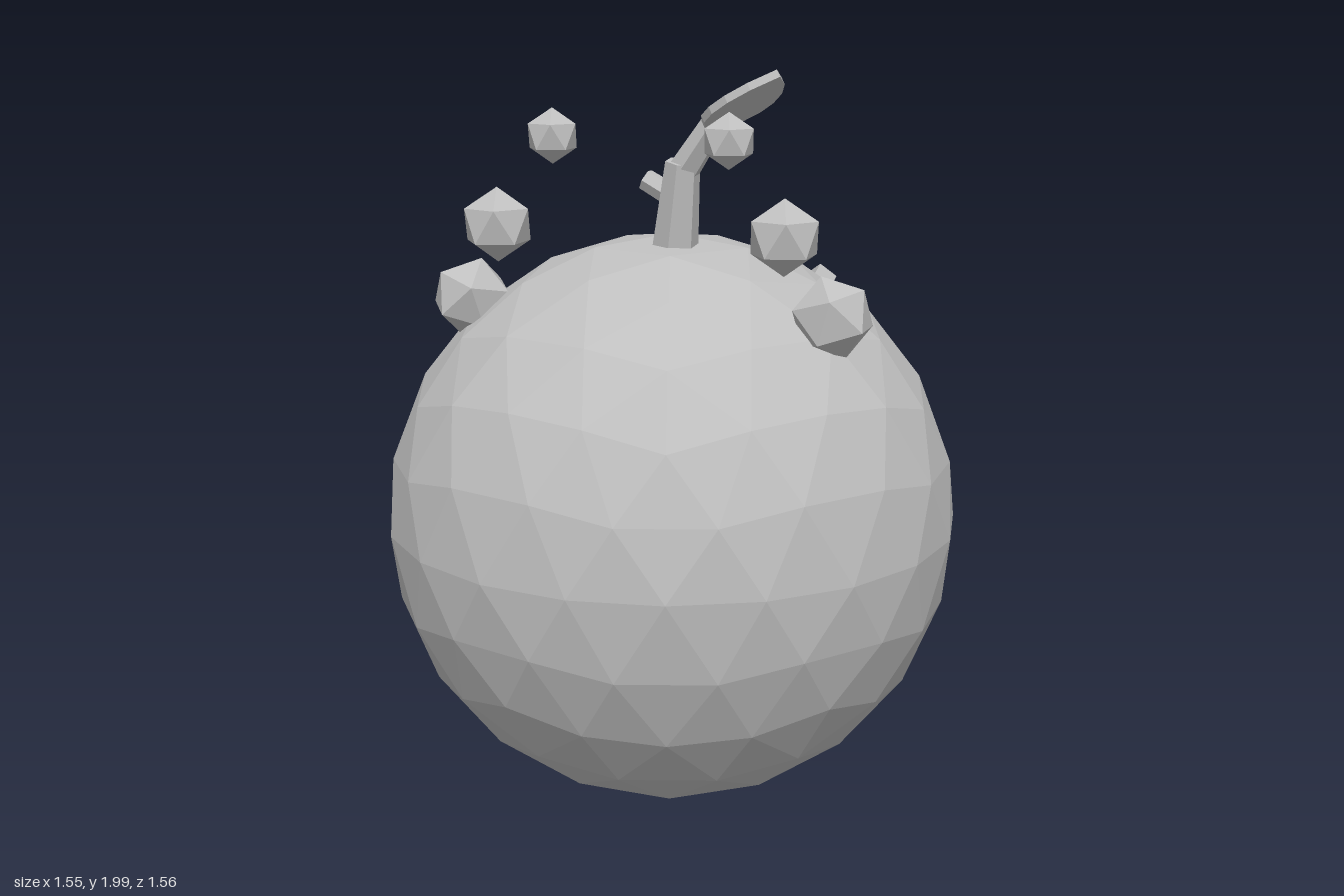
import * as THREE from 'three';

const V = (x, y, z) => new THREE.Vector3(x, y, z);

// Icosphere with a vertex at each pole; every level halves the edges
function icosphere(radius, levels) {
  const pts = [0, 1, 0], faces = [];
  for (const [y, turn] of [[0.4472, 0], [-0.4472, 0.5]]) {
    for (let i = 0; i < 5; i++) {
      const a = (i + turn) * Math.PI * 0.4;
      pts.push(Math.cos(a) * 0.8944, y, Math.sin(a) * 0.8944);
    }
  }
  pts.push(0, -1, 0);
  for (let i = 0; i < 5; i++) {
    const j = (i + 1) % 5;
    const u = 1 + i, un = 1 + j, l = 6 + i, ln = 6 + j;
    faces.push(0, un, u, u, un, l, l, un, ln, 11, l, ln);
  }
  let geo = new THREE.PolyhedronGeometry(pts, faces, radius, 0);
  for (let k = 0; k < levels; k++) {
    const p = Array.from(geo.attributes.position.array);
    geo = new THREE.PolyhedronGeometry(p, p.slice(0, p.length / 3).map((_, i) => i), radius, 1);
  }
  geo.computeVertexNormals();
  return geo;
}

// Places a mesh with its local x along u and local z along n
function orient(mesh, centre, u, n) {
  const x = u.clone().normalize();
  const y = n.clone().cross(x).normalize();
  const z = x.clone().cross(y);
  mesh.quaternion.setFromRotationMatrix(new THREE.Matrix4().makeBasis(x, y, z));
  mesh.position.copy(centre);
}

export function createModel() {
  const model = new THREE.Group();
  const grey = new THREE.MeshStandardMaterial({ color: 0xbfbfbf, flatShading: true });
  grey.name = 'grey';

  function add(name, geometry) {
    const mesh = new THREE.Mesh(geometry, grey);
    mesh.name = name;
    model.add(mesh);
    return mesh;
  }

  // Round faceted body
  add('body', icosphere(0.775, 2)).position.y = 0.78;

  // Three shrinking berries on each side of the top
  const berries = [
    [0.495, 1.39, 0.2, 0.109, 0.3],
    [0.385, 1.595, 0.265, 0.097, 0],
    [0.235, 1.825, 0.247, 0.071, 0],
  ];
  for (const s of [-1, 1]) {
    for (const [x, y, z, r, tilt] of berries) {
      const berry = add(s > 0 ? 'leftBerry' : 'rightBerry', icosphere(r, 0));
      berry.position.set(s * x, y, z);
      berry.rotation.z = s * tilt;
    }
  }

  // Crooked stem with a cut side twig
  function branch(name, from, to, r0, r1) {
    const dir = to.clone().sub(from);
    const mesh = add(name, new THREE.CylinderGeometry(r1, r0, dir.length(), 6));
    mesh.position.copy(from).addScaledVector(dir, 0.5);
    mesh.quaternion.setFromUnitVectors(V(0, 1, 0), dir.normalize());
  }
  branch('lowerStem', V(0.035, 1.52, 0.073), V(0.065, 1.755, 0.1), 0.062, 0.046);
  branch('upperStem', V(0.068, 1.735, 0.097), V(0.16, 1.865, 0.117), 0.042, 0.034);
  branch('twig', V(0.04, 1.66, 0.085), V(-0.043, 1.705, 0.085), 0.031, 0.029);

  // Pointed leaf at the stem end
  const leafShape = new THREE.Shape();
  leafShape.moveTo(0, -0.02);
  leafShape.bezierCurveTo(0.03, -0.13, 0.17, -0.14, 0.273, 0);
  leafShape.bezierCurveTo(0.17, 0.14, 0.03, 0.13, 0, 0.02);
  const leafGeo = new THREE.ExtrudeGeometry(leafShape, { depth: 0.02, bevelEnabled: false, curveSegments: 6 });
  orient(add('leaf', leafGeo), V(0.165, 1.842, 0.105), V(0.195, 0.14, 0.13), V(-0.56, 1, -0.24));

  // Slanted brows and narrow eyes, mirrored
  for (const s of [-1, 1]) {
    const side = s > 0 ? 'left' : 'right';
    orient(add(side + 'Brow', new THREE.BoxGeometry(0.26, 0.06, 0.068)),
      V(s * 0.213, 1.315, -0.555), V(s * 0.64, 0.46, 0.61), V(s * 0.27, 0.67, -0.69));
    orient(add(side + 'Eye', new THREE.BoxGeometry(0.315, 0.05, 0.05)),
      V(s * 0.23, 1.165, -0.632), V(s * 0.936, -0.159, 0.313), V(s * 0.352, 0.42, -0.833));
  }

  // Half-moon frowning mouth with a raised inner arch
  const mouthShape = new THREE.Shape();
  mouthShape.moveTo(-0.165, 0);
  mouthShape.bezierCurveTo(-0.15, 0.18, 0.15, 0.18, 0.165, 0);
  mouthShape.closePath();
  const archShape = new THREE.Shape();
  archShape.absarc(0, 0.015, 0.085, 0, Math.PI, false);
  archShape.absarc(0, 0.015, 0.06, Math.PI, 0, true);
  const flat = (depth) => ({ depth, bevelEnabled: false, curveSegments: 8 });
  const facing = V(0, 0.11, -1);
  orient(add('mouth', new THREE.ExtrudeGeometry(mouthShape, flat(0.035))),
    V(0, 0.856, -0.747), V(-1, 0, 0), facing);
  orient(add('mouthArch', new THREE.ExtrudeGeometry(archShape, flat(0.006))),
    V(0, 0.86, -0.781), V(-1, 0, 0), facing);

  return model;
}
